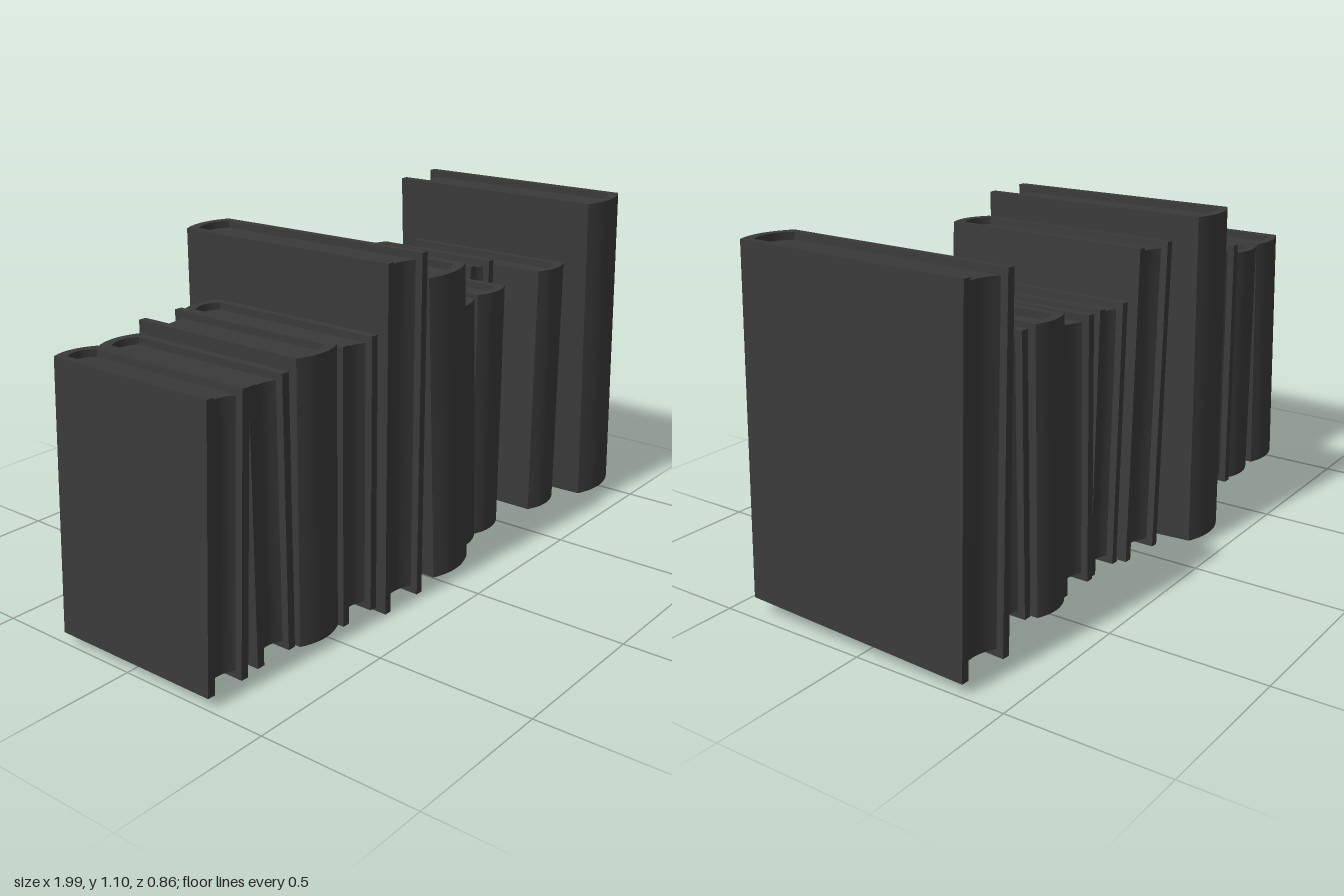
import * as THREE from 'three';
import { toCreasedNormals } from 'three/addons/utils/BufferGeometryUtils.js';

const BOARD = 0.026;   // cover board thickness
const RECESS = 0.022;  // pages sit this far inside the covers
const STEPS = 10;      // segments per curved edge

const material = new THREE.MeshStandardMaterial({ color: 0x3a3a3a });

// Each book: x = bottom centre, dx = sideways lean at the top, w = thickness,
// z0/z1 = back and front, y0/y1 = bottom and top, spine = 1 front / -1 back,
// slope = rise of the bottom edge along z, yaw = turn about the vertical.
const BOOKS = [
  { x: -0.92, dx: 0.035, w: 0.155, z0: -0.285, z1: 0.31, y1: 0.855, spine: -1 },
  { x: -0.72, dx: -0.008, w: 0.155, z0: -0.285, z1: 0.305, y1: 0.85, spine: -1 },
  { x: -0.55, dx: 0, w: 0.17, z0: -0.28, z1: 0.34, y1: 0.885, spine: 1 },
  { x: -0.39, dx: 0, w: 0.155, z0: -0.29, z1: 0.34, y1: 0.88, spine: -1 },
  { x: -0.2, dx: 0, w: 0.19, z0: -0.435, z1: 0.355, y0: 0.014, y1: 1.08, spine: -1, slope: -0.036, yaw: 0.02 },
  { x: 0.055, dx: -0.055, w: 0.185, z0: -0.335, z1: 0.38, y1: 1.008, spine: 1 },
  { x: 0.218, dx: -0.042, w: 0.15, z0: -0.3, z1: 0.308, y1: 0.855, spine: 1 },
  { x: 0.37, dx: 0, w: 0.158, z0: -0.305, z1: 0.295, y1: 0.858, spine: 1 },
  { x: 0.519, dx: 0, w: 0.135, z0: -0.33, z1: 0.14, y1: 0.898, spine: -1 },
  { x: 0.672, dx: 0, w: 0.163, z0: -0.29, z1: 0.335, y1: 0.883, spine: 1 },
  { x: 0.89, dx: -0.045, w: 0.2, z0: -0.365, z1: 0.43, y0: 0.042, y1: 1.1, spine: 1, slope: 0.03, yaw: -0.012 },
];

// Points across the thickness on a bulging curve, from xa to xb
function arc(xa, xb, z, bulge) {
  const pts = [];
  for (let i = 0; i <= STEPS; i++) {
    const t = i / STEPS;
    pts.push([xa + (xb - xa) * t, z + bulge * 4 * t * (1 - t)]);
  }
  return pts;
}

// Extrude a plan outline [x, z] upwards from y0 to y1
function plan(points, flip, y0, y1) {
  const shape = new THREE.Shape(points.map(([x, z]) => new THREE.Vector2(x, -z * flip)));
  const geo = new THREE.ExtrudeGeometry(shape, { depth: y1 - y0, bevelEnabled: false });
  return geo.rotateX(-Math.PI / 2).translate(0, y0, 0);
}

// Slant the bottom edge while leaving the top level
function slantBottom(geo, slope, height) {
  const p = geo.attributes.position;
  for (let i = 0; i < p.count; i++) {
    p.setY(i, p.getY(i) + slope * p.getZ(i) * (1 - p.getY(i) / height));
  }
}

function makeBook({ x, dx, w, z0, z1, y0 = 0.03, y1, spine, slope = 0, yaw = 0 }) {
  const book = new THREE.Group();
  book.name = 'book';
  const h = y1 - y0, half = w / 2, end = (z1 - z0) / 2;
  const bulge = w * 0.13, zs = end - bulge, inner = half - BOARD;

  // Two boards joined by a rounded spine
  const coverOutline = [
    [-half, -end], ...arc(-half, half, zs, bulge), [half, -end],
    [inner, -end], ...arc(inner, -inner, zs - BOARD, bulge), [-inner, -end],
  ];
  // Page block with a hollow fore-edge
  const pageOutline = [
    ...arc(-inner - 0.002, inner + 0.002, zs - BOARD + 0.002, bulge),
    ...arc(inner + 0.002, -inner - 0.002, -end + RECESS, bulge * 0.8),
  ];

  const parts = [
    ['cover', plan(coverOutline, spine, 0, h)],
    ['pages', plan(pageOutline, spine, RECESS, h - RECESS)],
  ];
  for (const [name, geo] of parts) {
    slantBottom(geo, slope, h);
    const mesh = new THREE.Mesh(toCreasedNormals(geo, 0.4), material);
    mesh.name = name;
    book.add(mesh);
  }
  book.position.set(x, y0, (z0 + z1) / 2);
  book.rotation.set(0, yaw, -Math.atan2(dx, h));
  return book;
}

export function createModel() {
  const model = new THREE.Group();
  model.name = 'bookRow';
  for (const spec of BOOKS) model.add(makeBook(spec));
  return model;
}
